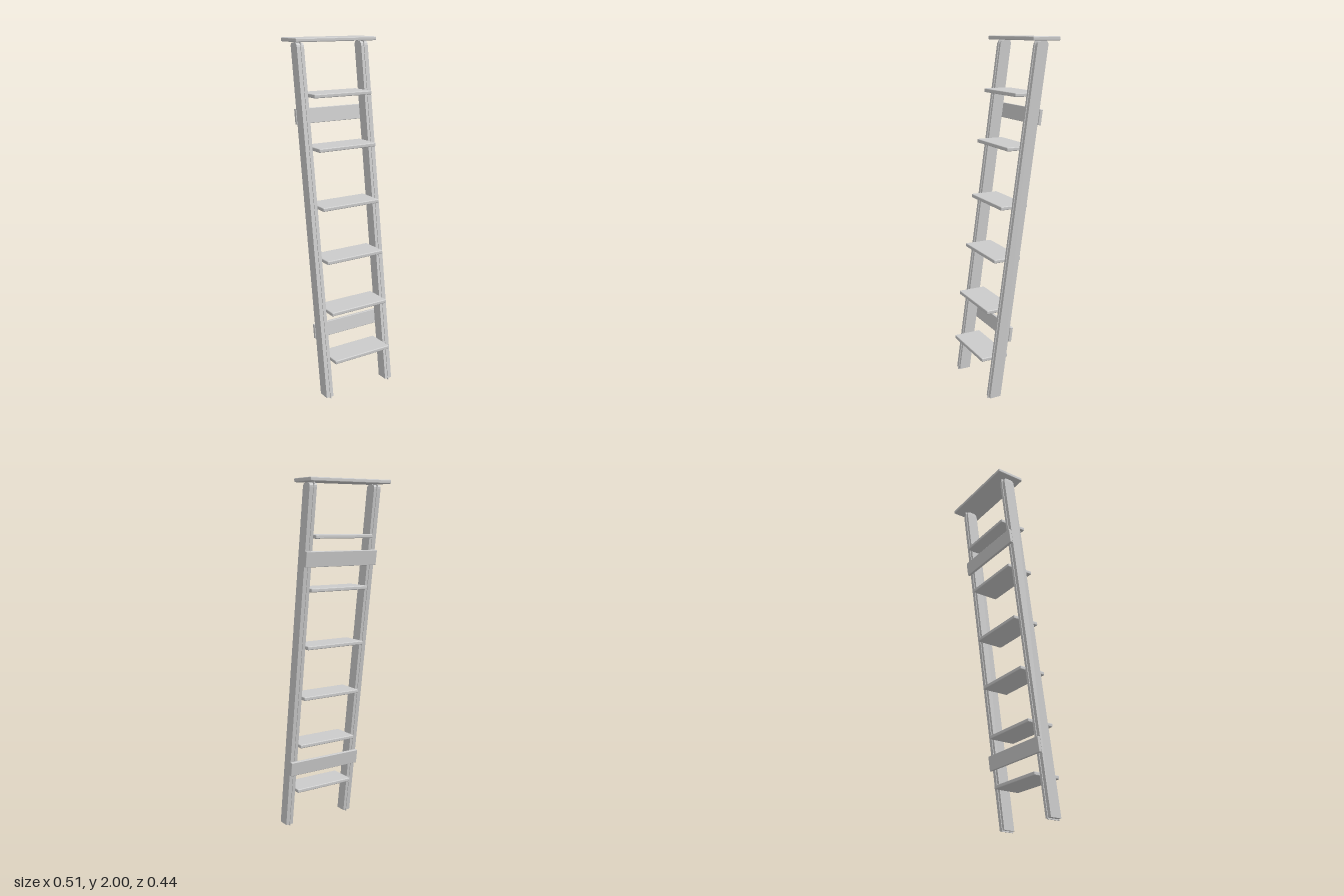
import * as THREE from 'three';
import { RoundedBoxGeometry } from 'three/addons/geometries/RoundedBoxGeometry.js';

const LEAN = 0.1447; // backward run per unit of height
const TILT = -Math.atan(LEAN);
const centreZ = (y) => 0.155 - LEAN * y;

export function createModel() {
  const model = new THREE.Group();
  const material = new THREE.MeshStandardMaterial({ color: 0xcccccc, flatShading: true });

  const add = (name, geometry, x, y, z) => {
    const mesh = new THREE.Mesh(geometry, material);
    mesh.name = name;
    mesh.position.set(x, y, z);
    model.add(mesh);
    return mesh;
  };

  // Leaning plank: level foot, rounded head, side profile extruded across x
  const plank = (name, x, width, half, bottom, top, round) => {
    const front = (y) => centreZ(y) + half;
    const back = (y) => centreZ(y) - half;
    const shape = new THREE.Shape();
    shape.moveTo(back(bottom), bottom);
    shape.lineTo(front(bottom), bottom);
    shape.lineTo(front(top - round), top - round);
    shape.quadraticCurveTo(front(top), top, front(top) - round, top);
    shape.lineTo(back(top) + round, top);
    shape.quadraticCurveTo(back(top), top, back(top - round), top - round);
    shape.closePath();
    const geometry = new THREE.ExtrudeGeometry(shape, { depth: width, bevelEnabled: false, curveSegments: 4 });
    geometry.translate(0, 0, -width / 2).rotateY(-Math.PI / 2);
    add(name, geometry, x, 0, 0);
  };

  // Each rail is two boards with a thin strip between them
  for (const [side, s] of [['left', 1], ['right', -1]]) {
    plank(side + 'RailOuterBoard', s * 0.2165, 0.023, 0.033, 0.007, 1.975, 0.022);
    plank(side + 'RailInnerBoard', s * 0.1925, 0.018, 0.033, 0.007, 1.975, 0.022);
    plank(side + 'RailStrip', s * 0.203, 0.005, 0.037, 0, 1.98, 0.008);
  }

  // Level treads, each given as height and depth position
  const treads = [[0.23, 0.135], [0.51, 0.101], [0.8, 0.055], [1.095, 0.014], [1.415, -0.024], [1.7, -0.071]];
  for (const [y, z] of treads) {
    add('tread', new RoundedBoxGeometry(0.37, 0.021, 0.163, 2, 0.005), 0, y, z);
  }

  // Top platform
  add('topPlatform', new RoundedBoxGeometry(0.514, 0.021, 0.166, 2, 0.005), 0, 1.9895, -0.136);

  // Tilted cross braces on the back of the rails
  for (const y of [0.373, 1.582]) {
    const brace = add('backBrace', new RoundedBoxGeometry(0.462, 0.084, 0.018, 2, 0.003), 0, y, centreZ(y) - 0.044);
    brace.rotation.x = TILT;
  }
  return model;
}
